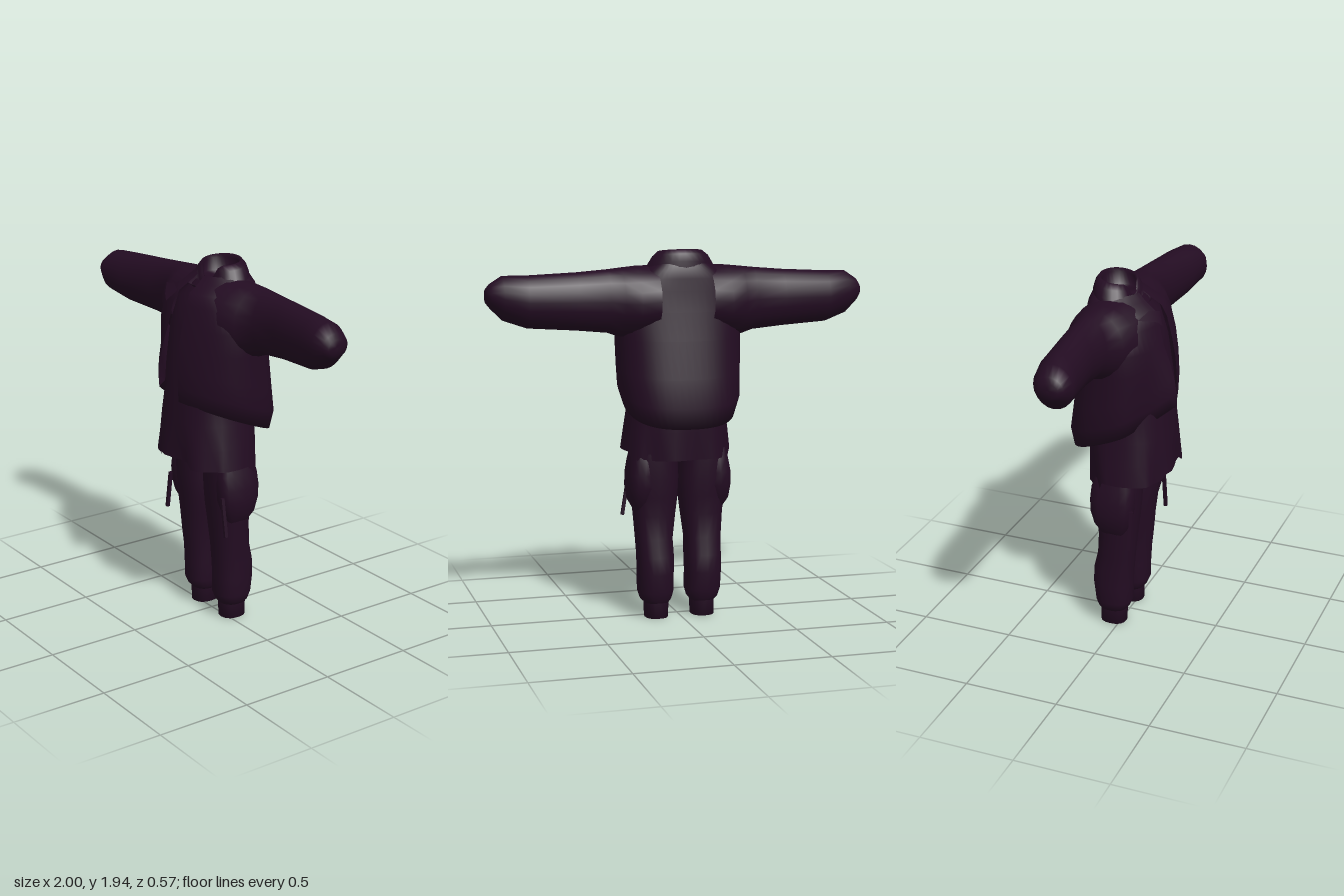
import * as THREE from 'three';
import { mergeVertices } from 'three/addons/utils/BufferGeometryUtils.js';

const fabric = new THREE.MeshStandardMaterial({ color: 0x230c22, side: THREE.DoubleSide });
fabric.name = 'dark plum fabric';
const { smoothstep, clamp } = THREE.MathUtils;

// Skin over rounded cross-sections; each ring is [height, x0, x1, z0, z1].
// power below 1 makes the section boxier; from/to leave an opening at the front.
function loft(name, rings, { n = 28, power = 1, from = 0, to = Math.PI * 2, warp } = {}) {
  let geo = new THREE.PlaneGeometry(1, 1, n, rings.length - 1);
  const pos = geo.attributes.position;
  const p = new THREE.Vector3();
  const soft = (c) => Math.sign(c) * Math.pow(Math.abs(c), power);
  rings.forEach(([y, x0, x1, z0, z1], j) => {
    for (let i = 0; i <= n; i++) {
      const a = from + (to - from) * i / n;
      p.set((x0 + x1) / 2 + (x1 - x0) / 2 * soft(Math.sin(a)), y,
        (z0 + z1) / 2 + (z1 - z0) / 2 * soft(Math.cos(a)));
      if (warp) warp(p, a, j);
      pos.setXYZ(j * (n + 1) + i, p.x, p.y, p.z);
    }
  });
  geo.deleteAttribute('uv');
  geo.deleteAttribute('normal');
  geo = mergeVertices(geo, 1e-5);
  geo.computeVertexNormals();
  const mesh = new THREE.Mesh(geo, fabric);
  mesh.name = name;
  return mesh;
}

// Symmetric ring: height, half width, back z, front z
const ring = (y, w, z0, z1) => [y, -w, w, z0, z1];

// Thin cloth patch from a few corner points, fanned from the first
function patch(name, pts) {
  const geo = new THREE.BufferGeometry().setFromPoints(pts.map((q) => new THREE.Vector3(...q)));
  const index = [];
  for (let i = 1; i < pts.length - 1; i++) index.push(0, i, i + 1);
  geo.setIndex(index);
  geo.computeVertexNormals();
  const mesh = new THREE.Mesh(geo, fabric);
  mesh.name = name;
  return mesh;
}

function jacket() {
  const g = new THREE.Group();
  g.name = 'jacket';

  // Body, open down the front: broad back, hem rising to the front, right edge flared out
  g.add(loft('jacketBody', [
    ring(1.2, 0.26, -0.22, 0.2), ring(1.15, 0.29, -0.27, 0.235), ring(1.24, 0.32, -0.283, 0.242),
    ring(1.35, 0.325, -0.262, 0.245), ring(1.5, 0.33, -0.235, 0.235), ring(1.62, 0.34, -0.212, 0.215),
    ring(1.73, 0.325, -0.2, 0.187), ring(1.79, 0.25, -0.195, 0.16), ring(1.83, 0.2, -0.19, 0.1),
    ring(1.865, 0.15, -0.175, 0.06),
  ], {
    n: 52, from: 0.12, to: Math.PI * 2 - 0.23,
    warp(p, a) {
      const low = clamp((1.6 - p.y) / 0.42, 0, 1);
      const edge = smoothstep(a, 5.65, 6.05);
      const slack = smoothstep(a, 5, 5.5) * (1 - edge);
      if (p.z < 0) {
        const full = 1 + 0.07 * Math.sin(2 * a) ** 2;
        p.x *= full;
        p.z *= full;
      }
      p.y += 0.4 * p.z * low - 0.015 * low + 0.07 * edge * low;
      p.z += (0.005 + 0.05 * low) * edge - 0.025 * slack * low;
    },
  }));

  // Stand collar, higher at the back, dipping at the throat, closed inside
  g.add(loft('collar', [
    ring(1.815, 0.2, -0.185, 0.11), ring(1.86, 0.17, -0.182, 0.065), ring(1.9, 0.145, -0.172, 0.045),
    ring(1.925, 0.115, -0.155, 0.035), ring(1.91, 0.1, -0.14, 0.025), ring(1.85, 0.1, -0.14, 0.03),
    ring(1.84, 0.001, -0.051, -0.049),
  ], {
    warp(p, a, j) {
      if (j > 0 && j < 5) p.y -= 0.13 * (p.z + 0.05) + 0.07 * smoothstep(Math.cos(a), 0.7, 1);
    },
  }));

  // Turned-out lapel point
  g.add(patch('lapel', [[-0.13, 1.76, 0.2], [-0.22, 1.79, 0.13], [-0.12, 1.81, 0.15],
    [-0.05, 1.79, 0.18], [-0.1, 1.73, 0.215]]));

  // Sleeves, lofted along x and flowing out of the body: [x, y0, y1, z0, z1]
  for (const s of [-1, 1]) {
    g.add(loft(s > 0 ? 'leftSleeve' : 'rightSleeve', [
      [0.14, 1.5, 1.855, -0.235, 0.16], [0.24, 1.48, 1.852, -0.23, 0.14], [0.32, 1.49, 1.845, -0.212, 0.095],
      [0.39, 1.515, 1.838, -0.178, 0.035], [0.55, 1.53, 1.825, -0.168, 0.032],
      [0.8, 1.545, 1.812, -0.15, 0.06], [0.92, 1.585, 1.81, -0.115, 0.09],
      [0.98, 1.645, 1.77, -0.085, 0.065], [1.0, 1.67, 1.745, -0.055, 0.045], [0.997, 1.706, 1.708, -0.006, -0.004],
    ], { n: 20, warp: (p) => p.set(s * p.y, p.x, p.z) }));
  }
  return g;
}

function shirt() {
  const g = new THREE.Group();
  g.name = 'shirt';
  g.add(loft('shirtBody', [
    ring(0.89, 0.287, -0.175, 0.25), ring(1.0, 0.273, -0.185, 0.247), ring(1.12, 0.255, -0.19, 0.242),
    ring(1.25, 0.24, -0.19, 0.228), ring(1.4, 0.24, -0.19, 0.215), ring(1.6, 0.24, -0.17, 0.18),
    ring(1.75, 0.2, -0.16, 0.14), ring(1.83, 0.11, -0.145, 0.06),
  ], {
    n: 40, power: 0.85,
    warp(p, a, j) {
      if (j > 1) return;
      // Lower back tail, raised front centre and soft pleats
      if (j === 0) {
        if (p.z < -0.07) p.y -= 0.04;
        if (p.z > 0.15 && Math.abs(p.x) < 0.12) p.y += 0.03;
      }
      p.z += 0.012 * Math.sin(a * 8) * (p.z > 0 ? -1 : 1) * (j === 0 ? 1 : 0.5);
    },
  }));
  return g;
}

function trousers() {
  const g = new THREE.Group();
  g.name = 'trousers';
  g.add(loft('hips', [ring(0.85, 0.02, -0.08, 0.06), ring(0.88, 0.22, -0.14, 0.11),
    ring(1.0, 0.235, -0.15, 0.13), ring(1.15, 0.22, -0.15, 0.14)], { power: 0.85 }));

  for (const s of [-1, 1]) {
    const side = s > 0 ? 'left' : 'right';
    const mirror = (p) => { p.x *= s; };
    // Leg gathered into a straight ankle cuff
    g.add(loft(side + 'Leg', [
      [0.08, 0.06, 0.19, -0.11, 0.03], [0.1, 0.045, 0.21, -0.122, 0.048], [0.14, 0.035, 0.223, -0.135, 0.065],
      [0.24, 0.035, 0.226, -0.147, 0.065], [0.33, 0.033, 0.226, -0.143, 0.07], [0.42, 0.035, 0.23, -0.12, 0.078],
      [0.55, 0.018, 0.24, -0.113, 0.088], [0.65, 0.006, 0.25, -0.125, 0.1], [0.75, 0.002, 0.258, -0.135, 0.11],
      [0.87, 0.008, 0.255, -0.14, 0.115], [1.0, 0, 0.24, -0.14, 0.12],
    ], { n: 20, power: 0.85, warp: mirror }));
    g.add(loft(side + 'Cuff', [
      [0, 0.12, 0.13, -0.045, -0.035], [0, 0.065, 0.188, -0.11, 0.03], [0.1, 0.06, 0.19, -0.112, 0.032],
    ], { n: 20, power: 0.85, warp: mirror }));
    // Baggy cargo pocket
    g.add(loft(side + 'Pocket', [
      [0.57, 0.18, 0.235, -0.07, 0.05], [0.63, 0.15, 0.27, -0.11, 0.08], [0.7, 0.13, 0.28, -0.132, 0.1],
      [0.77, 0.13, 0.278, -0.135, 0.106], [0.84, 0.13, 0.265, -0.13, 0.104], [0.9, 0.15, 0.25, -0.11, 0.09],
    ], { n: 16, power: 0.75, warp: mirror }));
    // Hanging strap
    const strap = new THREE.Mesh(new THREE.BoxGeometry(0.016, 0.21, 0.018), fabric);
    strap.name = side + 'Strap';
    strap.position.set(s * 0.255, 0.63, 0.103);
    strap.rotation.z = s * 0.16;
    g.add(strap);
  }
  return g;
}

export function createModel() {
  const model = new THREE.Group();
  model.name = 'outfit';
  model.add(jacket(), shirt(), trousers());
  return model;
}
